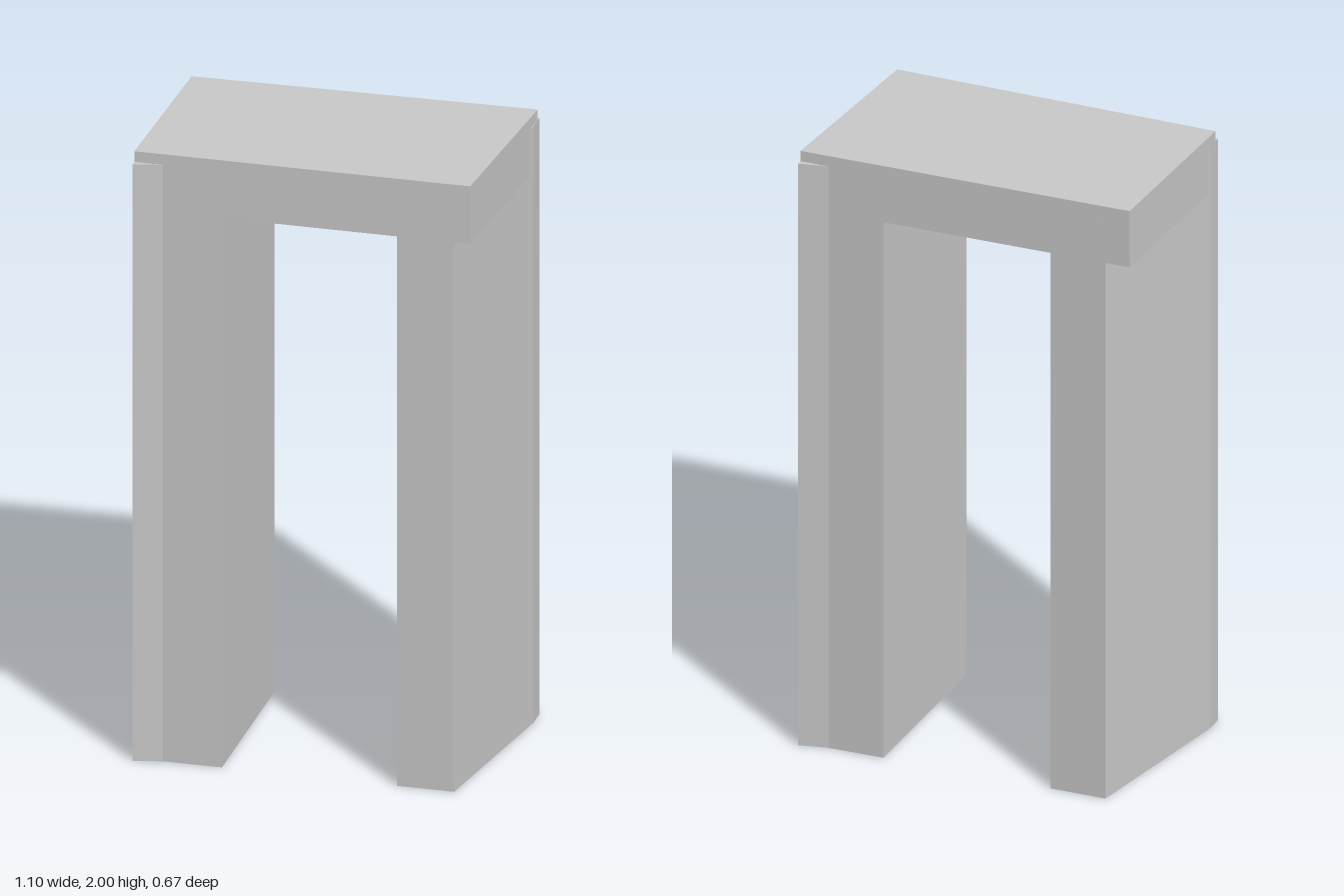
import * as THREE from 'three';

const material = new THREE.MeshStandardMaterial({ color: 0xcccccc, flatShading: true });

// Upright prism from a plan outline of [x, z] corners
function prism(name, outline, bottom, top) {
  const shape = new THREE.Shape(outline.map(([x, z]) => new THREE.Vector2(x, -z)));
  const geometry = new THREE.ExtrudeGeometry(shape, { depth: top - bottom, bevelEnabled: false });
  geometry.rotateX(-Math.PI / 2).translate(0, bottom, 0);
  const mesh = new THREE.Mesh(geometry, material);
  mesh.name = name;
  return mesh;
}

export function createModel() {
  const group = new THREE.Group();
  group.name = 'stoneArch';

  // Legs taper in plan, each with one flared outer corner
  group.add(prism('leftLeg', [
    [0.275, 0.314], [0.455, 0.314], [0.547, -0.27],
    [0.547, -0.337], [0.455, -0.316], [0.275, -0.312],
  ], 0, 1.965));
  group.add(prism('rightLeg', [
    [-0.275, 0.314], [-0.46, 0.315], [-0.55, 0.335],
    [-0.55, 0.27], [-0.455, -0.297], [-0.275, -0.3],
  ], 0, 1.965));

  // Slightly skewed slab resting across both legs
  group.add(prism('lintel', [
    [-0.55, 0.315], [0.505, 0.314], [0.547, -0.318], [-0.535, -0.295],
  ], 1.81, 2));

  return group;
}
